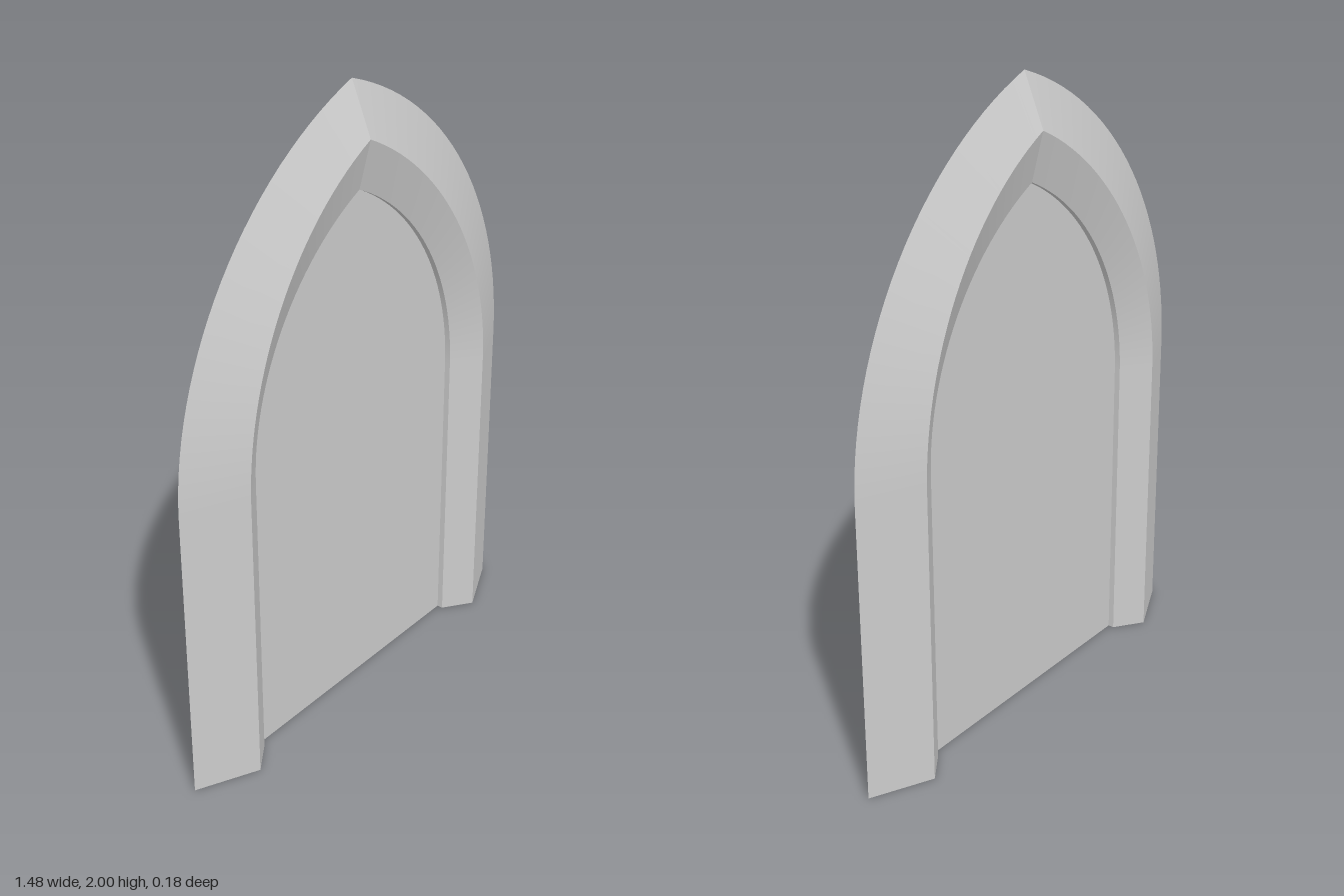
import * as THREE from 'three';

const SPRING = 0.95;  // height where the arch begins
const STEPS = 28;     // segments along each half arch
const PANEL_Z = 0.008;

// Half outline of a pointed arch (+x side): straight jamb, then an arc up to the apex
function halfArch(halfWidth, apex) {
  const rise = apex - SPRING;
  const r = (halfWidth ** 2 + rise ** 2) / (2 * halfWidth);
  const end = Math.asin(rise / r);
  const pts = [new THREE.Vector2(halfWidth, 0)];
  for (let i = 0; i <= STEPS; i++) {
    const a = (end * i) / STEPS;
    pts.push(new THREE.Vector2(Math.max(0, halfWidth - r + r * Math.cos(a)), SPRING + r * Math.sin(a)));
  }
  return pts;
}

// Rails of the frame, outermost to innermost, with their depth
const outer = halfArch(0.74, 2.0);
const ridge = halfArch(0.55, 1.84);
const inner = halfArch(0.46, 1.685);
const rails = [
  { pts: outer, z: () => 0 },
  { pts: ridge, z: (x) => 0.066 + 0.025 * (x / 0.55) ** 2 },
  { pts: inner, z: () => 0.027 },
  { pts: inner, z: () => PANEL_Z },
];

function surface(positions, index, flip) {
  const g = new THREE.BufferGeometry();
  g.setAttribute('position', new THREE.Float32BufferAttribute(positions, 3));
  if (flip) for (let i = 0; i < index.length; i += 3) [index[i + 1], index[i + 2]] = [index[i + 2], index[i + 1]];
  g.setIndex(index);
  g.computeVertexNormals();
  return g;
}

// Smooth band between two rails, in the quarter given by signs sx, sz
function band(a, b, sx, sz) {
  const pos = [], idx = [];
  a.pts.forEach((p, i) => {
    const q = b.pts[i];
    pos.push(sx * p.x, p.y, sz * a.z(p.x), sx * q.x, q.y, sz * b.z(q.x));
    if (i) {
      const k = 2 * (i - 1);
      idx.push(k, k + 2, k + 3, k, k + 3, k + 1);
    }
  });
  return surface(pos, idx, sx * sz < 0);
}

// Flat underside of one quarter of the frame
function foot(sx, sz) {
  const pos = [];
  rails.forEach((r) => pos.push(sx * r.pts[0].x, 0, sz * r.z(r.pts[0].x)));
  pos.push(sx * inner[0].x, 0, 0);
  return surface(pos, [0, 1, 2, 0, 2, 3, 0, 3, 4], sx * sz < 0);
}

export function createModel() {
  const model = new THREE.Group();
  model.name = 'archedPanel';
  const material = new THREE.MeshStandardMaterial({ color: 0xcccccc });
  const add = (parent, geometry, name) => {
    const mesh = new THREE.Mesh(geometry, material);
    mesh.name = name;
    parent.add(mesh);
  };

  // Frame: bevelled bands mirrored left/right and front/back
  const frame = new THREE.Group();
  frame.name = 'frame';
  model.add(frame);
  const bandNames = ['outerBevel', 'innerBevel', 'innerStep'];
  for (const sx of [1, -1]) {
    for (const sz of [1, -1]) {
      bandNames.forEach((name, j) => add(frame, band(rails[j], rails[j + 1], sx, sz), name));
      add(frame, foot(sx, sz), 'frameFoot');
    }
  }

  // Thin panel filling the arch
  const left = inner.slice(0, -1).reverse().map((p) => new THREE.Vector2(-p.x, p.y));
  const panel = new THREE.ExtrudeGeometry(new THREE.Shape([...inner, ...left]), {
    depth: 2 * PANEL_Z,
    bevelEnabled: false,
  });
  panel.translate(0, 0, -PANEL_Z);
  add(model, panel, 'panel');

  return model;
}
